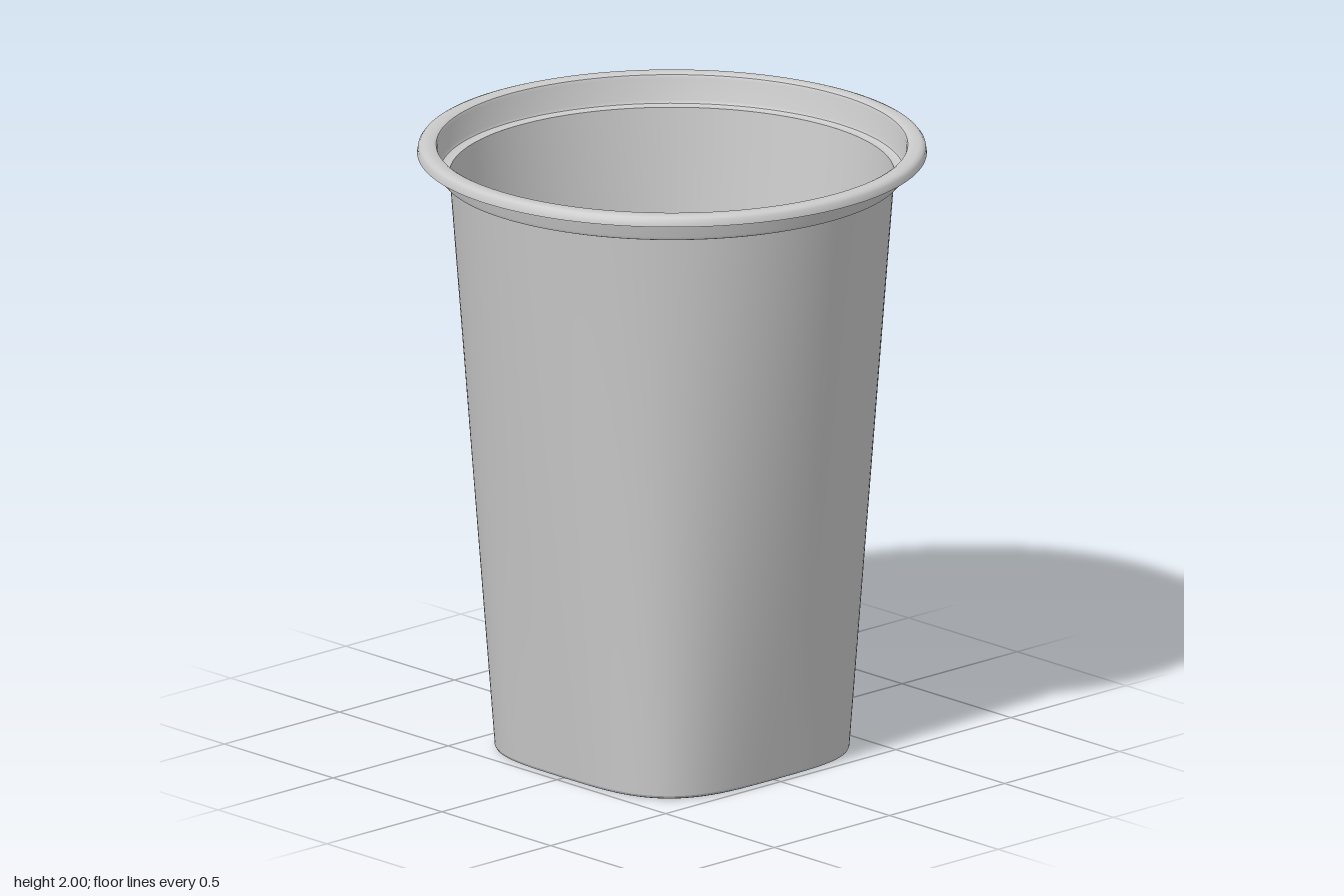
import * as THREE from 'three';
import { toCreasedNormals } from 'three/addons/utils/BufferGeometryUtils.js';

const SEGMENTS = 160;

// Radius of a rounded square of half width a; n = 2 is a circle, larger n is squarer
function radiusAt(a, n, t) {
  const c = Math.abs(Math.cos(t)), s = Math.abs(Math.sin(t));
  return a / Math.pow(c ** n + s ** n, 1 / n);
}

// Skin through rings [halfWidth, y, squareness]; steps subdivide each span
function loft(rings, steps = 1) {
  const pos = [], index = [];
  const rows = (rings.length - 1) * steps;
  for (let i = 0; i <= rows; i++) {
    const k = Math.min(Math.floor(i / steps), rings.length - 2);
    const f = i / steps - k;
    const [a0, y0, n0] = rings[k], [a1, y1, n1] = rings[k + 1];
    for (let j = 0; j <= SEGMENTS; j++) {
      const t = (j % SEGMENTS) / SEGMENTS * Math.PI * 2;
      const r = radiusAt(a0, n0, t) * (1 - f) + radiusAt(a1, n1, t) * f;
      pos.push(r * Math.cos(t), y0 + (y1 - y0) * f, r * Math.sin(t));
    }
  }
  const w = SEGMENTS + 1;
  for (let i = 0; i < rows; i++) {
    for (let j = 0; j < SEGMENTS; j++) {
      const a = i * w + j, b = a + 1, c = a + w, d = c + 1;
      index.push(a, c, b, b, c, d);
    }
  }
  const g = new THREE.BufferGeometry();
  g.setAttribute('position', new THREE.Float32BufferAttribute(pos, 3));
  g.setIndex(index);
  return g;
}

export function createModel() {
  const cup = new THREE.Group();
  cup.name = 'cup';
  const material = new THREE.MeshStandardMaterial({ color: 0xcccccc, side: THREE.DoubleSide });

  function add(name, geometry, crease = 0.6) {
    const mesh = new THREE.Mesh(toCreasedNormals(geometry, crease), material);
    mesh.name = name;
    cup.add(mesh);
  }

  // Tapered wall: rounded square at the foot, circle at the top
  add('wall', loft([[0.483, 0.012, 3.5], [0.703, 1.9, 2]], 16));

  // Floor: rounded foot, shallow recess and a raised square in the middle
  add('floor', loft([
    [0.001, 0.06, 6], [0.195, 0.06, 6], [0.208, 0.057, 6], [0.216, 0.048, 6],
    [0.224, 0.03, 6], [0.233, 0.021, 6], [0.25, 0.017, 5.5], [0.3, 0.015, 4.5],
    [0.43, 0.015, 3.6], [0.441, 0.012, 3.5], [0.45, 0.004, 3.5], [0.46, 0, 3.5],
    [0.47, 0, 3.5], [0.479, 0.004, 3.5], [0.483, 0.012, 3.5],
  ]));

  // Rim: ledge, stepped collar and rolled lip
  const rimProfile = [
    [0.703, 1.9], [0.722, 1.9], [0.733, 1.904], [0.738, 1.914], [0.741, 1.985],
    [0.745, 1.995], [0.754, 2], [0.784, 2], [0.795, 1.996], [0.802, 1.987],
    [0.805, 1.968], [0.796, 1.968],
  ].map(([r, y]) => new THREE.Vector2(r, y));
  add('rim', new THREE.LatheGeometry(rimProfile, SEGMENTS));

  return cup;
}
